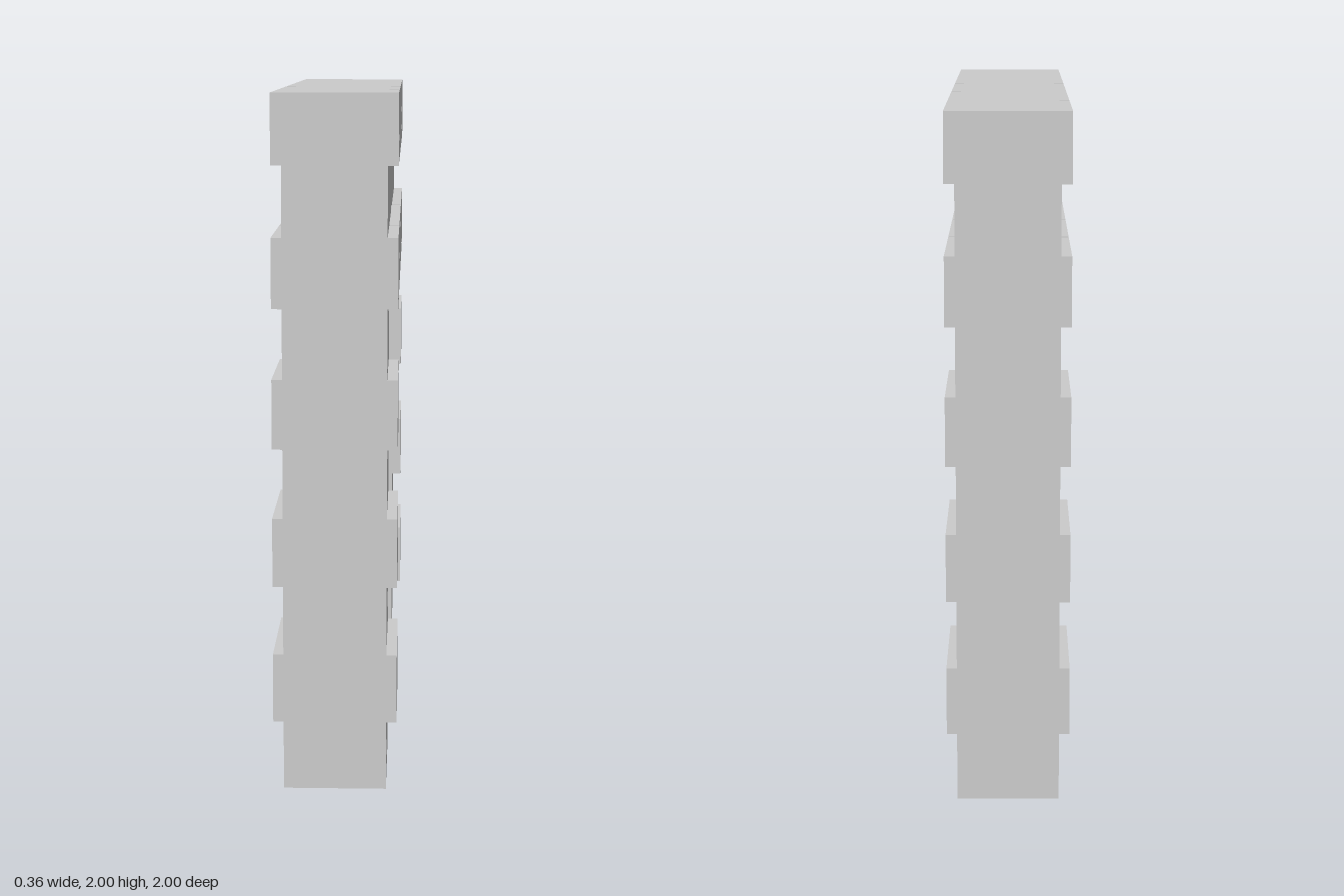
import * as THREE from 'three';

const COURSE = 0.2;        // height of one brick course
const GAP = 0.007;         // half the width of a joint
const RECESS = 0.03;       // depth of a joint
const INNER = 0.6 - GAP;   // inner face of the posts

const material = new THREE.MeshStandardMaterial({ color: 0xcccccc, flatShading: true });

// One course: a plan outline from z0 to z1, notched at every joint on both sides
function course(name, row, z0, z1, joints) {
  const half = row % 2 ? 0.178 : 0.148;
  const side = [];
  let z = z0;
  for (const j of joints) {
    if (j - GAP > z + 1e-4) side.push([half, z], [half, j - GAP]);
    side.push([half - RECESS, j - GAP], [half - RECESS, j + GAP]);
    z = j + GAP;
  }
  if (z < z1 - 1e-4) side.push([half, z], [half, z1]);

  const points = [...side, ...side.map(([x, sz]) => [-x, sz]).reverse()];
  const shape = new THREE.Shape(points.map(([x, sz]) => new THREE.Vector2(x, sz)));
  const geometry = new THREE.ExtrudeGeometry(shape, { depth: COURSE, bevelEnabled: false });
  geometry.rotateX(Math.PI / 2).translate(0, (row + 1) * COURSE, 0);
  const mesh = new THREE.Mesh(geometry, material);
  mesh.name = name;
  return mesh;
}

export function createModel() {
  const model = new THREE.Group();
  model.name = 'brickGateway';

  // Two posts of alternating recessed and projecting courses
  const frontPost = new THREE.Group();
  const backPost = new THREE.Group();
  frontPost.name = 'frontPost';
  backPost.name = 'backPost';
  for (let row = 0; row < 7; row++) {
    const joint = row % 2 ? 0.6 : 0.8;
    frontPost.add(course('postCourse', row, INNER, 1, [joint]));
    backPost.add(course('postCourse', row, -1, -INNER, [-joint]));
  }

  // Lintel of three full-length courses in running bond
  const lintel = new THREE.Group();
  lintel.name = 'lintel';
  for (let row = 7; row < 10; row++) {
    const joints = row % 2 ? [-0.6, -0.2, 0.2, 0.6] : [-0.8, -0.4, 0, 0.4, 0.8];
    lintel.add(course('lintelCourse', row, -1, 1, joints));
  }

  model.add(frontPost, backPost, lintel);
  return model;
}
